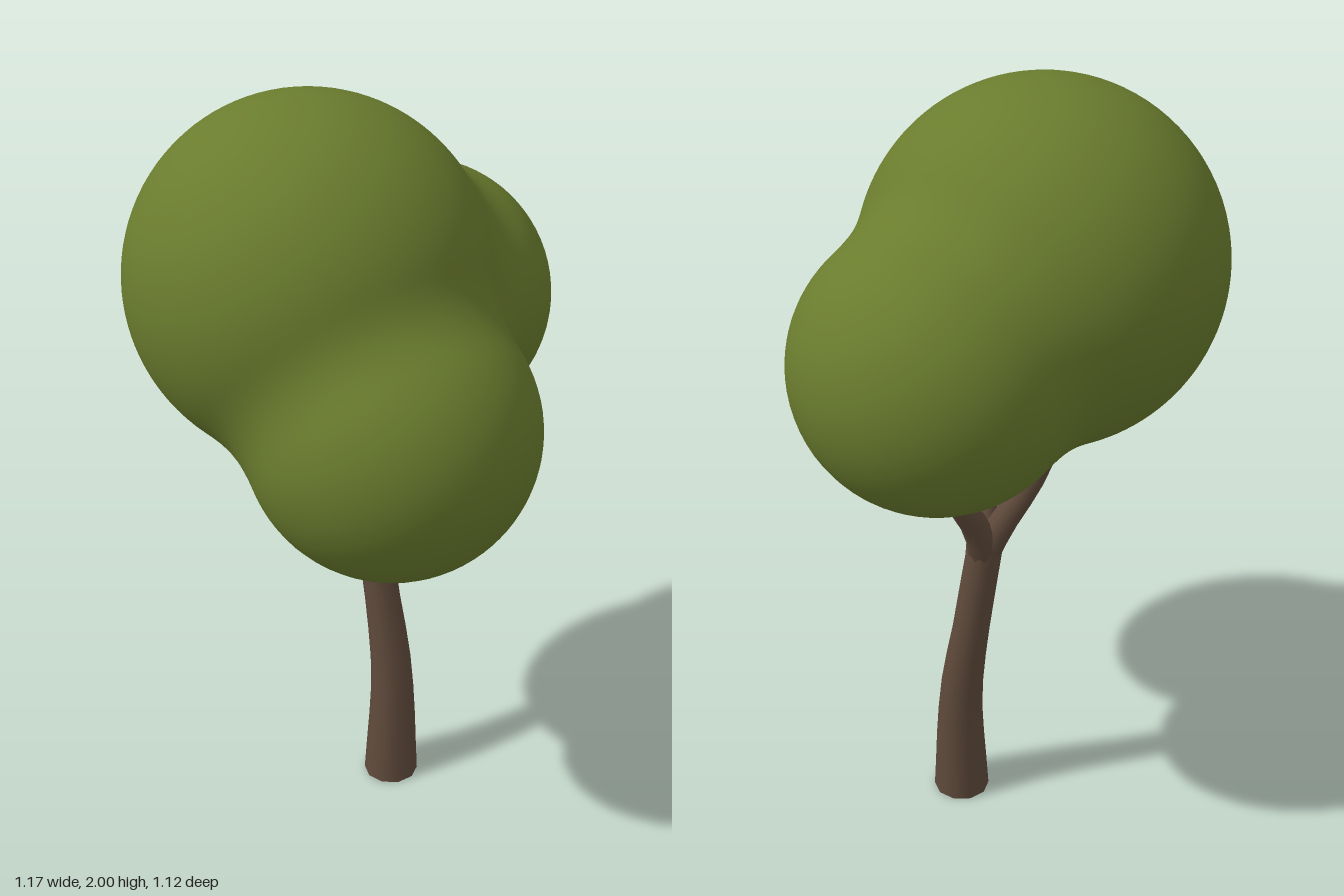
import * as THREE from 'three';
import { mergeVertices } from 'three/addons/utils/BufferGeometryUtils.js';

const V = (x, y, z) => new THREE.Vector3(x, y, z);

// Round limb that follows points, its radius running through the given list
function limb(points, radii, rings, sides) {
  const curve = new THREE.CatmullRomCurve3(points);
  const geo = new THREE.TubeGeometry(curve, rings, 1, sides);
  const pos = geo.attributes.position;
  const v = new THREE.Vector3();
  for (let i = 0; i < pos.count; i++) {
    const t = Math.floor(i / (sides + 1)) / rings;
    const f = t * (radii.length - 1);
    const a = Math.min(Math.floor(f), radii.length - 2);
    const r = THREE.MathUtils.lerp(radii[a], radii[a + 1], f - a);
    const c = curve.getPointAt(t);
    v.fromBufferAttribute(pos, i).sub(c).multiplyScalar(r).add(c);
    pos.setXYZ(i, v.x, t === 0 && c.y === 0 ? 0 : v.y, v.z);
  }
  return geo;
}

// Three foliage balls melted into one skin
const balls = [
  { c: V(-0.135, 1.547, -0.112), r: 0.453 },
  { c: V(-0.105, 1.25, 0.2), r: 0.36 },
  { c: V(0.235, 1.4, -0.18), r: 0.35 },
];
const BLEND = 0.09;

function field(p) {
  let d = Infinity;
  for (const { c, r } of balls) {
    const e = p.distanceTo(c) - r;
    const h = Math.max(BLEND - Math.abs(d - e), 0) / BLEND;
    d = Math.min(d, e) - h * h * BLEND / 4;
  }
  return d;
}

function canopyGeometry() {
  let geo = new THREE.IcosahedronGeometry(1, 22);
  geo.deleteAttribute('normal');
  geo.deleteAttribute('uv');
  geo = mergeVertices(geo, 1e-4);
  const core = V(-0.02, 1.42, -0.04); // lies inside all three balls
  const pos = geo.attributes.position;
  const dir = new THREE.Vector3(), p = new THREE.Vector3();
  for (let i = 0; i < pos.count; i++) {
    dir.fromBufferAttribute(pos, i).normalize();
    let lo = 0, hi = 1.2;
    for (let k = 0; k < 24; k++) {
      const mid = (lo + hi) / 2;
      p.copy(core).addScaledVector(dir, mid);
      if (field(p) < 0) lo = mid; else hi = mid;
    }
    pos.setXYZ(i, p.x, p.y, p.z);
  }
  geo.computeVertexNormals();
  return geo;
}

export function createModel() {
  const tree = new THREE.Group();
  tree.name = 'tree';
  const bark = new THREE.MeshStandardMaterial({ color: 0x604b3c });
  bark.name = 'bark brown';
  const leaf = new THREE.MeshStandardMaterial({ color: 0x6a7c2e });
  leaf.name = 'leaf green';
  const add = (name, geo, mat) => {
    const mesh = new THREE.Mesh(geo, mat);
    mesh.name = name;
    tree.add(mesh);
    return mesh;
  };

  // Leaning trunk with a closed foot
  add('trunk', limb(
    [V(0.064, 0, -0.045), V(0.076, 0.33, -0.06), V(0.066, 0.6, -0.1), V(0.052, 0.84, -0.135)],
    [0.076, 0.06, 0.049, 0.046], 9, 10), bark);
  const foot = add('trunkFoot', new THREE.CircleGeometry(0.075, 10), bark);
  foot.rotation.x = Math.PI / 2;
  foot.position.set(0.064, 0, -0.045);
  const fork = add('fork', new THREE.SphereGeometry(0.046, 12, 8), bark);
  fork.position.set(0.052, 0.84, -0.135);

  // Branches spreading up into the foliage
  const branches = {
    frontBranch: [V(0.055, 0.78, -0.12), V(0.02, 0.86, -0.08), V(-0.06, 0.95, 0.01), V(-0.11, 1.08, 0.13)],
    rightBranch: [V(0.055, 0.8, -0.13), V(0.09, 0.89, -0.15), V(0.185, 1.04, -0.165), V(0.25, 1.16, -0.17)],
    backBranch: [V(0.055, 0.8, -0.13), V(0.03, 0.89, -0.165), V(-0.03, 1.04, -0.225), V(-0.07, 1.16, -0.25)],
  };
  for (const [name, points] of Object.entries(branches))
    add(name, limb(points, [0.042, 0.035, 0.03, 0.028], 6, 10), bark);

  add('canopy', canopyGeometry(), leaf);
  return tree;
}
